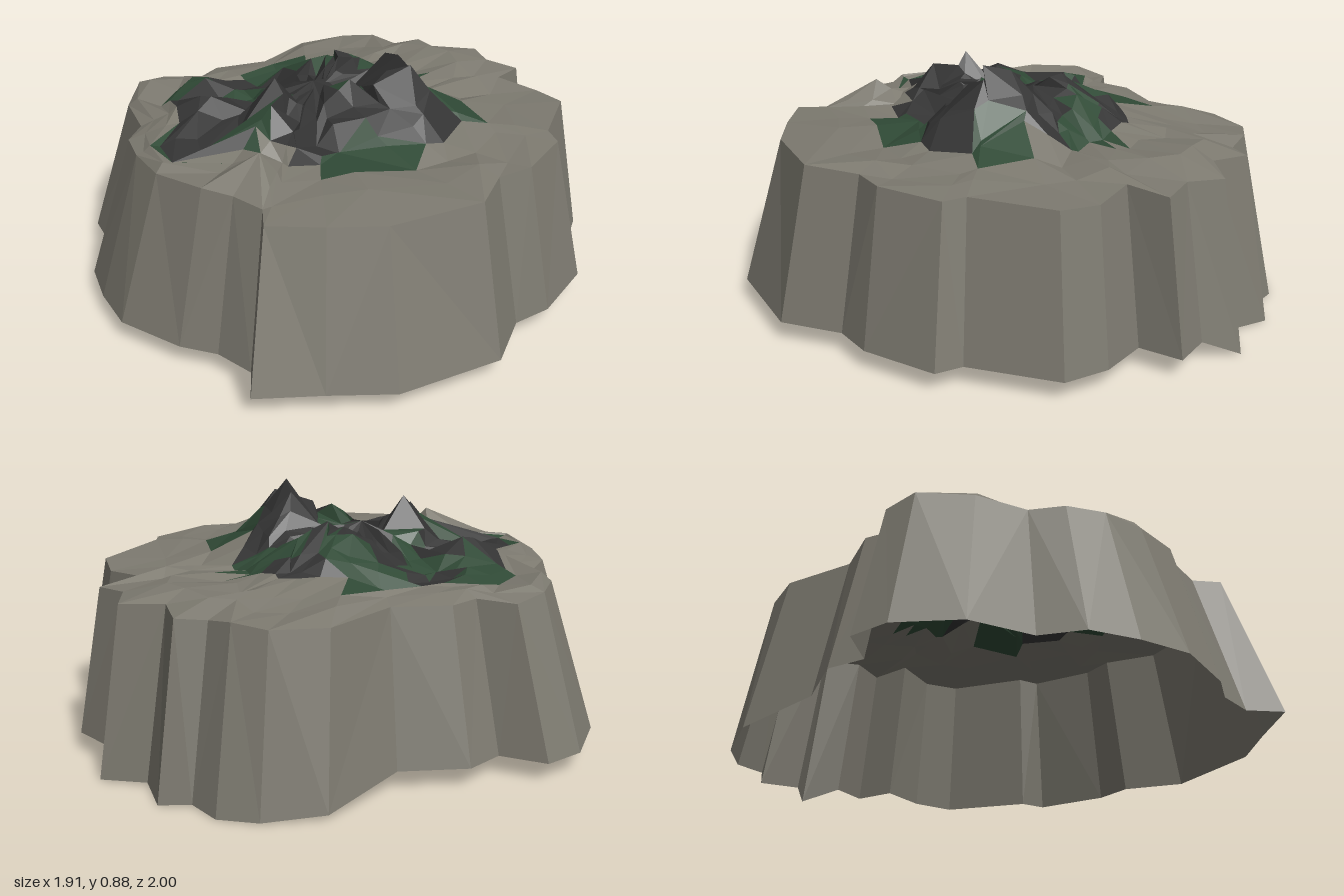
import * as THREE from 'three';

// foot of the cliff and edge of the rocky hill, as [x, z] going round from the back
const FOOT = [[-0.09, -0.99], [0.03, -0.95], [0.13, -1], [0.25, -0.9], [0.41, -0.95], [0.49, -0.83], [0.63, -0.79],
  [0.59, -0.64], [0.76, -0.58], [0.88, -0.47], [0.88, -0.14], [0.95, -0.07], [0.88, 0.2], [0.79, 0.32], [0.78, 0.55],
  [0.51, 0.83], [0.29, 0.91], [0.07, 1], [0.02, 0.87], [-0.12, 0.81], [-0.26, 0.81], [-0.51, 0.74], [-0.65, 0.61],
  [-0.76, 0.47], [-0.76, 0.31], [-0.92, 0.14], [-0.96, -0.09], [-0.9, -0.23], [-0.73, -0.25], [-0.69, -0.39],
  [-0.49, -0.53], [-0.4, -0.82], [-0.23, -0.95]];
const HILL = [[0, -0.47], [0.14, -0.4], [0.3, -0.33], [0.31, -0.18], [0.48, -0.06], [0.48, 0.1], [0.4, 0.2],
  [0.15, 0.28], [0.05, 0.45], [-0.1, 0.45], [-0.2, 0.4], [-0.35, 0.56], [-0.48, 0.5], [-0.46, 0.25], [-0.6, 0.1],
  [-0.58, -0.1], [-0.42, -0.2], [-0.3, -0.32], [-0.2, -0.37]];
// summits and bumps: x, z, height, slope
const PEAKS = [[0.26, 0, 0.88, 1.05], [0.19, -0.08, 0.85, 1], [-0.13, 0.2, 0.82, 1.1], [-0.04, -0.2, 0.79, 0.6],
  [0.1, 0.06, 0.79, 0.9], [-0.1, 0.32, 0.77, 1], [-0.43, 0.17, 0.7, 0.5], [-0.06, 0.54, 0.7, 0.9],
  [-0.05, 0.02, 0.75, 0.5], [0.2, -0.72, 0.645, 0.1], [-0.52, -0.08, 0.66, 0.35]];
// grass patches: x, z, radius
const GRASS = [[-0.3, -0.33, 0.15], [0.17, -0.36, 0.1], [-0.63, -0.06, 0.13], [0.45, -0.12, 0.12], [0.27, 0.36, 0.17],
  [0.45, 0.42, 0.12], [-0.54, 0.45, 0.1], [-0.3, 0.58, 0.1], [-0.36, -0.02, 0.1], [-0.2, 0.08, 0.07],
  [-0.12, -0.24, 0.09], [-0.16, 0.35, 0.07], [0.06, 0.02, 0.06], [0.05, -0.3, 0.06], [-0.5, 0.08, 0.06]];
const CX = -0.05, CZ = 0.02;

let seed = 7;
const rand = () => (seed = (seed * 16807) % 2147483647) / 2147483647;
const jitter = (a) => (rand() - 0.5) * 2 * a;

// where a ray from the centre towards (px, pz) meets a closed outline
function meet(outline, px, pz) {
  const dx = px - CX, dz = pz - CZ;
  for (let i = 0; i < outline.length; i++) {
    const a = outline[i], b = outline[(i + 1) % outline.length];
    const ax = a[0] - CX, az = a[1] - CZ, ex = b[0] - a[0], ez = b[1] - a[1];
    const d = dx * ez - dz * ex;
    const t = (ax * ez - az * ex) / d, s = (ax * dz - az * dx) / d;
    if (t > 0 && s >= -1e-6 && s <= 1 + 1e-6) return [CX + dx * t, CZ + dz * t];
  }
  return [CX + dx * 0.5, CZ + dz * 0.5];
}

function groundHeight(x, z) {
  let y = 0.615;
  for (const [px, pz, h, slope] of PEAKS) y = Math.max(y, h - slope * Math.hypot(x - px, z - pz));
  return y;
}

export function createModel() {
  const group = new THREE.Group();
  const n = FOOT.length;
  const faces = { sand: [], rock: [], grass: [] };

  // cliff foot and rim
  const foot = FOOT.map(([x, z]) => {
    const dip = z < -0.6 && x > -0.45 && x < 0.45;
    return new THREE.Vector3(x, dip ? Math.max(0, 0.02 - Math.max(0, -z - 0.8) * 0.1) : 0.07, z);
  });
  foot[2].y = 0;
  const rim = FOOT.map(([x, z]) => {
    const k = 0.855 + 0.03 * x - 0.03 * z + jitter(0.012);
    return new THREE.Vector3(x * k, 0.6 + jitter(0.012), z * k);
  });

  // rings of the ground, from the hill core out to the rim
  const lerp = THREE.MathUtils.lerp;
  const hill = rim.map((p) => meet(HILL, p.x, p.z));
  const rings = [];
  for (const t of [0.17, 0.36, 0.54, 0.72, 0.87, 1]) {
    rings.push(hill.map(([hx, hz]) => {
      const k = t + (t < 1 ? jitter(0.07) : 0);
      const x = lerp(CX, hx, k) + jitter(0.012), z = lerp(CZ, hz, k) + jitter(0.012);
      return new THREE.Vector3(x, groundHeight(x, z) + jitter(t < 1 ? 0.022 : 0.01), z);
    }));
  }
  for (const t of [0.3, 0.65]) {
    rings.push(hill.map(([hx, hz], i) => {
      const k = t + jitter(0.12);
      const x = lerp(hx, rim[i].x, k), z = lerp(hz, rim[i].z, k);
      return new THREE.Vector3(x, groundHeight(x, z) + jitter(0.016), z);
    }));
  }

  // pull the nearest ground point onto each summit
  const inner = rings.flat();
  for (const [px, pz, h] of PEAKS) {
    const dist = (p) => Math.hypot(p.x - px, p.z - pz);
    inner.reduce((a, b) => (dist(b) < dist(a) ? b : a)).set(px, h, pz);
  }
  rings.push(rim, foot);

  // sort each triangle into its material
  const addFace = (ring, a, b, c) => {
    const x = (a.x + b.x + c.x) / 3, z = (a.z + b.z + c.z) / 3;
    let kind = ring <= 5 ? 'rock' : 'sand';
    if (ring <= 6 && GRASS.some(([gx, gz, r]) => Math.hypot(x - gx, z - gz) < r)) kind = 'grass';
    if (kind === 'rock' && Math.hypot(x + 0.06, z - 0.5) < 0.11) kind = 'sand';
    for (const p of [a, b, c]) faces[kind].push(p.x, p.y, p.z);
  };
  const centre = new THREE.Vector3(CX, 0.75, CZ);
  for (let i = 0; i < n; i++) {
    const j = (i + 1) % n;
    addFace(0, centre, rings[0][j], rings[0][i]);
    for (let r = 1; r < rings.length; r++) {
      const a = rings[r - 1][i], b = rings[r - 1][j], c = rings[r][i], d = rings[r][j];
      if (rand() < 0.5) {
        addFace(r, a, b, c);
        addFace(r, b, d, c);
      } else {
        addFace(r, a, d, c);
        addFace(r, a, b, d);
      }
    }
  }

  const parts = [['sandAndCliff', 'sand', 0x7d7a70], ['rockyHill', 'rock', 0x343434], ['grassPatches', 'grass', 0x304a36]];
  for (const [name, kind, color] of parts) {
    const geometry = new THREE.BufferGeometry();
    geometry.setAttribute('position', new THREE.Float32BufferAttribute(faces[kind], 3));
    geometry.computeVertexNormals();
    const mesh = new THREE.Mesh(geometry, new THREE.MeshStandardMaterial({ color, flatShading: true, side: THREE.DoubleSide }));
    mesh.name = name;
    group.add(mesh);
  }
  return group;
}
